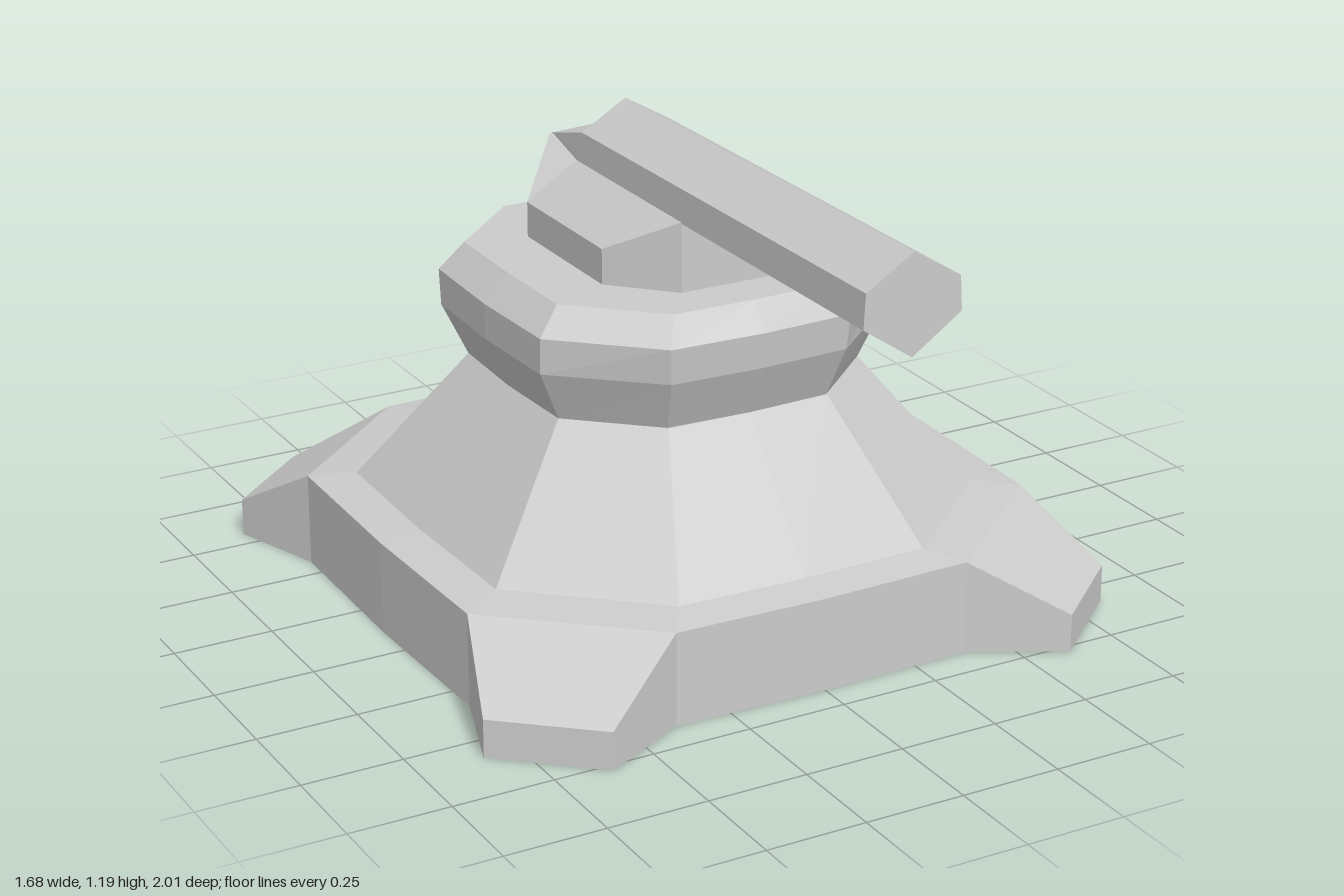
import * as THREE from 'three';

const CZ = -0.115; // centre of the pedestal along z
const material = new THREE.MeshStandardMaterial({ color: 0xcccccc, flatShading: true });

// Faceted skin through equal-length rings of [x, y, z], closed at both ends
function loft(name, rings) {
  const pos = [];
  const same = (a, b) => a.every((v, k) => Math.abs(v - b[k]) < 1e-6);
  const tri = (a, b, c) => {
    if (!same(a, b) && !same(b, c) && !same(c, a)) pos.push(...a, ...b, ...c);
  };
  const n = rings[0].length;
  const centre = (r) => [0, 1, 2].map((k) => r.reduce((s, p) => s + p[k], 0) / n);
  const last = rings[rings.length - 1];
  const c0 = centre(rings[0]), c1 = centre(last);
  for (let i = 0; i < n; i++) {
    const j = (i + 1) % n;
    for (let r = 0; r < rings.length - 1; r++) {
      const lo = rings[r], hi = rings[r + 1];
      tri(lo[i], lo[j], hi[j]);
      tri(lo[i], hi[j], hi[i]);
    }
    tri(c0, rings[0][j], rings[0][i]);
    tri(c1, last[i], last[j]);
  }
  const geo = new THREE.BufferGeometry();
  geo.setAttribute('position', new THREE.Float32BufferAttribute(pos, 3));
  geo.computeVertexNormals();
  const mesh = new THREE.Mesh(geo, material);
  mesh.name = name;
  return mesh;
}

// Octagon with slightly bulging sides: half width a, half depth b,
// corners at (a, ac) and (bc, b)
function octagon(y, a, ac, b, bc, bulge = 0.01) {
  return [
    [a + bulge, 0], [a, -ac], [bc, -b], [0, -b - bulge], [-bc, -b], [-a, -ac],
    [-a - bulge, 0], [-a, ac], [-bc, b], [0, b + bulge], [bc, b], [a, ac],
  ].map(([x, z]) => [x, y, z + CZ]);
}

// Adds two foot points at each diagonal; without tipY they collapse on the corners
function withFeet(ring, tipY) {
  const out = [];
  ring.forEach((p, i) => {
    out.push(p);
    if (i % 3 !== 1) return;
    const q = ring[i + 1];
    const tip = (c) => {
      if (tipY === undefined) return c;
      const wide = Math.abs(c[0]) > 0.5;
      return [Math.sign(c[0]) * (wide ? 0.84 : 0.615), tipY,
        CZ + Math.sign(c[2] - CZ) * (wide ? 0.695 : 0.89)];
    };
    out.push(tip(p), tip(q));
  });
  return out;
}

export function createModel() {
  const model = new THREE.Group();
  model.name = 'turret';

  // Base plate with four sloping corner feet
  const plate = (y) => octagon(y, 0.758, 0.453, 0.772, 0.39);
  model.add(loft('base', [
    withFeet(plate(0), 0),
    withFeet(plate(0.235), 0.095),
    withFeet(plate(0.235)),
    withFeet(octagon(0.247, 0.655, 0.39, 0.677, 0.33)),
  ]));

  // Tapered pedestal
  model.add(loft('pedestal', [
    octagon(0.245, 0.655, 0.39, 0.677, 0.33),
    octagon(0.57, 0.41, 0.24, 0.42, 0.215, 0.005),
  ]));

  // Flared collar
  model.add(loft('collar', [
    octagon(0.57, 0.41, 0.24, 0.415, 0.215),
    octagon(0.7, 0.468, 0.265, 0.47, 0.235),
    octagon(0.79, 0.47, 0.27, 0.48, 0.24),
    octagon(0.857, 0.412, 0.245, 0.435, 0.21, 0.005),
  ]));

  // Gun mount: octagonal block with sloping shoulders
  const mountPlan = [
    [0.26, 0.065], [0.26, -0.32], [0.125, -0.46], [-0.125, -0.46],
    [-0.26, -0.32], [-0.26, 0.065], [-0.125, 0.205], [0.125, 0.205],
  ];
  const shoulderY = (z) => (z < -0.4 ? 1.06 : 1.03);
  model.add(loft('gunMount', [
    mountPlan.map(([x, z]) => [x, 0.85, z]),
    mountPlan.map(([x, z]) => [x, Math.abs(x) > 0.2 ? 0.945 : shoulderY(z), z]),
    mountPlan.map(([x, z]) => [Math.sign(x) * 0.125, shoulderY(z), z]),
  ]));

  // Six-sided barrel, bevelled at the back
  const hexagon = (z, top, shoulder, side, bottom) => [
    [0.125, side, z], [0.12, shoulder, z], [0, top, z],
    [-0.12, shoulder, z], [-0.125, side, z], [0, bottom, z],
  ];
  model.add(loft('barrel', [
    hexagon(-0.46, 1.065, 1.06, 1.055, 0.95),
    hexagon(-0.3, 1.175, 1.105, 1.025, 0.95),
    hexagon(1, 1.187, 1.113, 1.03, 0.945),
  ]));

  return model;
}
